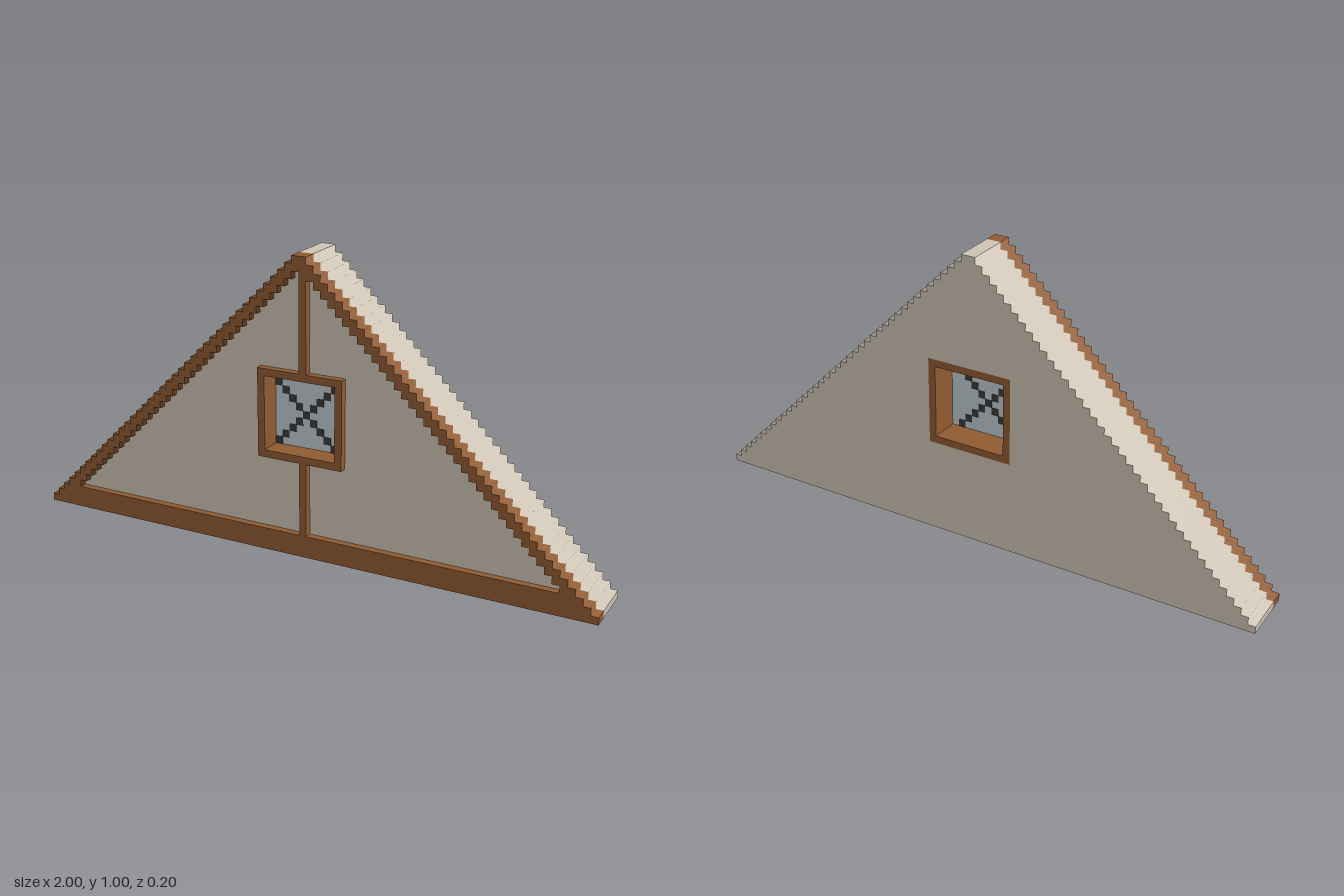
import * as THREE from 'three';
import { mergeGeometries } from 'three/addons/utils/BufferGeometryUtils.js';

const U = 0.025; // block size

const plaster = new THREE.MeshStandardMaterial({ name: 'plaster', color: 0xcdc3b4 });
const timber = new THREE.MeshStandardMaterial({ name: 'timber', color: 0x8f5b32 });
const glass = new THREE.MeshStandardMaterial({ name: 'glass', color: 0xc0cbd0 });
const lead = new THREE.MeshStandardMaterial({ name: 'lead', color: 0x3a3a3c });

// right-hand staircase, bottom to top, one block in per row
function stairs(half, from, to) {
  const pts = [];
  for (let k = from; k < to; k++) {
    const x = half - k * U;
    pts.push(new THREE.Vector2(x, k * U), new THREE.Vector2(x, (k + 1) * U));
  }
  return pts;
}

const mirrored = (pts) => pts.map((p) => new THREE.Vector2(-p.x, p.y)).reverse();

// closed stepped gable between two rows
function gableShape(half, from, to) {
  const right = stairs(half, from, to);
  return new THREE.Shape([...right, ...mirrored(right)]);
}

function square(Kind, half, cy) {
  return new Kind([[-1, -1], [1, -1], [1, 1], [-1, 1]].map(([x, y]) => new THREE.Vector2(x * half, cy + y * half)));
}

function extrude(shape, z0, z1) {
  return new THREE.ExtrudeGeometry(shape, { depth: z1 - z0, bevelEnabled: false }).translate(0, 0, z0);
}

// shade the steps as one continuous slope
function softenSteps(geo) {
  const p = geo.attributes.position, n = geo.attributes.normal;
  for (let i = 0; i < p.count; i++) {
    const x = p.getX(i), y = p.getY(i), nx = n.getX(i), ny = n.getY(i);
    if (Math.abs(n.getZ(i)) > 0.5) continue;
    if (Math.abs(ny) > 0.5 && (y < 0.001 || y > 0.999)) continue;
    if (Math.abs(x) > 0.999 && Math.abs(nx) > 0.5) continue;
    const s = Math.abs(nx) > 0.5 ? Math.sign(nx * x) : Math.sign(ny);
    n.setXYZ(i, Math.sign(x) * s * Math.SQRT1_2, s * Math.SQRT1_2, 0);
  }
  return geo;
}

export function createModel() {
  const model = new THREE.Group();
  model.name = 'gable';
  const add = (name, geo, mat) => {
    const mesh = new THREE.Mesh(geo, mat);
    mesh.name = name;
    model.add(mesh);
  };
  const cy = 19 * U; // window centre height

  // plaster wall
  const wall = gableShape(1, 0, 40);
  wall.holes.push(square(THREE.Path, 6 * U, cy));
  add('wall', softenSteps(extrude(wall, -0.1, 0.05)), plaster);

  // plaster infill, recessed behind the timber
  const infill = gableShape(0.95, 0, 38);
  infill.holes.push(square(THREE.Path, 6 * U, cy));
  add('infill', extrude(infill, 0.05, 0.075), plaster);

  // sloping rafters, two blocks wide
  const outer = stairs(1, 0, 40), inner = stairs(0.95, 0, 38);
  const rafters = new THREE.Shape([...outer, ...mirrored(outer), ...mirrored(inner).reverse(), ...inner.slice().reverse()]);
  add('rafters', softenSteps(extrude(rafters, 0.05, 0.1)), timber);

  // bottom beam between the rafters
  add('bottomBeam', extrude(gableShape(0.95, 0, 3), 0.075, 0.1), timber);

  // posts below and above the window
  for (const [name, y0, y1] of [['lowerPost', 3, 13], ['upperPost', 25, 38]]) {
    const h = (y1 - y0) * U;
    add(name, new THREE.BoxGeometry(U, h, U).translate(U / 2, y0 * U + h / 2, 0.0875), timber);
  }

  // window frame through the full depth
  const frame = square(THREE.Shape, 6 * U, cy);
  frame.holes.push(square(THREE.Path, 5 * U, cy));
  add('windowFrame', extrude(frame, -0.1, 0.1), timber);

  // pane with crossed lead blocks showing on both faces
  add('windowPane', new THREE.BoxGeometry(10 * U, 10 * U, U).translate(0, cy, U / 2), glass);
  const blocks = [];
  for (let i = 0; i < 10; i++) {
    for (let j = 0; j < 10; j++) {
      if (i !== j && i + j !== 8) continue;
      blocks.push(new THREE.BoxGeometry(U, U, U + 0.004).translate((i - 4.5) * U, cy + (j - 4.5) * U, U / 2));
    }
  }
  add('windowLead', mergeGeometries(blocks), lead);

  return model;
}
